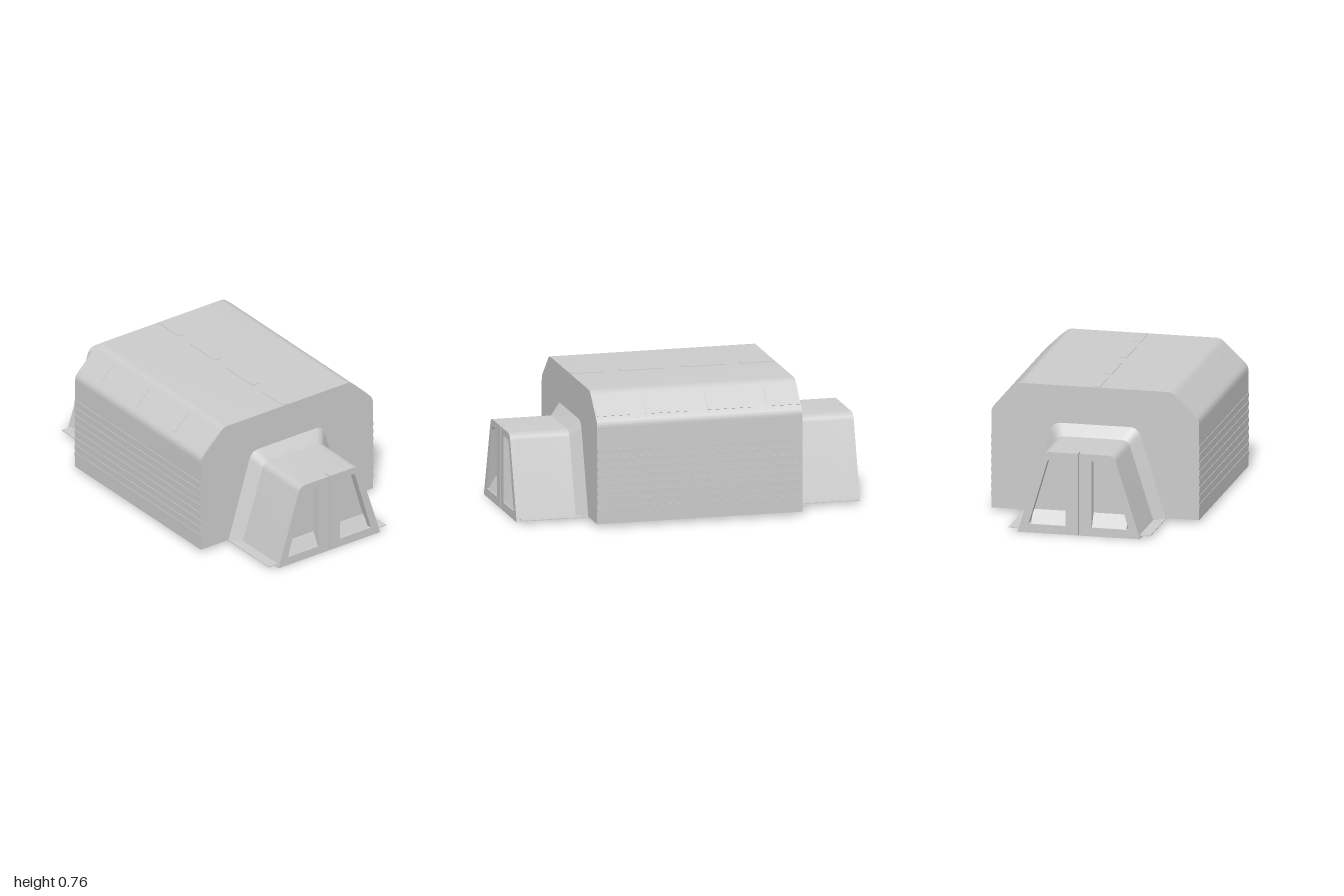
import * as THREE from 'three';
import { toCreasedNormals } from 'three/addons/utils/BufferGeometryUtils.js';

const material = new THREE.MeshStandardMaterial({ color: 0xcccccc, side: THREE.DoubleSide });

function add(parent, name, geometry) {
  const mesh = new THREE.Mesh(geometry, material);
  mesh.name = name;
  parent.add(mesh);
  return mesh;
}

function addBox(parent, name, [w, h, d], [x, y, z]) {
  const mesh = add(parent, name, new THREE.BoxGeometry(w, h, d));
  mesh.position.set(x, y, z);
  return mesh;
}

// Extrudes a (z, y) outline along x from x0 to x1.
function extrudeX(shape, x0, x1) {
  const g = new THREE.ExtrudeGeometry(shape, { depth: x1 - x0, bevelEnabled: false, curveSegments: 8 });
  g.rotateY(Math.PI / 2);
  g.translate(x0, 0, 0);
  return toCreasedNormals(g, 0.5);
}

// Arch outline from the +z foot over the top to the -z foot.
function archPoints(foot, shoulder, corner, top) {
  const curve = new THREE.QuadraticBezierCurve(
    new THREE.Vector2(...shoulder), new THREE.Vector2(...corner), new THREE.Vector2(...top));
  const half = [new THREE.Vector2(...foot), ...curve.getPoints(8)];
  return [...half, ...half.map((p) => new THREE.Vector2(-p.x, p.y)).reverse()];
}

// Skin through matching outlines placed at different x.
function loftX(sections) {
  const pos = [], idx = [];
  const n = sections[0].points.length;
  sections.forEach(({ x, points }) => points.forEach((p) => pos.push(x, p.y, p.x)));
  for (let i = 0; i < sections.length - 1; i++) {
    for (let j = 0; j < n - 1; j++) {
      const a = i * n + j, b = a + n;
      idx.push(a, b, a + 1, b, b + 1, a + 1);
    }
  }
  const g = new THREE.BufferGeometry();
  g.setAttribute('position', new THREE.Float32BufferAttribute(pos, 3));
  g.setIndex(idx);
  return toCreasedNormals(g, 0.5);
}

function createHall() {
  const hall = new THREE.Group();
  hall.name = 'hall';

  // Main shell with chamfered, softly rounded shoulders
  const s = new THREE.Shape();
  s.moveTo(0.6, 0.02);
  s.lineTo(0.6, 0.575);
  s.quadraticCurveTo(0.6, 0.602, 0.582, 0.62);
  s.lineTo(0.46, 0.737);
  s.quadraticCurveTo(0.44, 0.756, 0.415, 0.756);
  s.lineTo(-0.415, 0.756);
  s.quadraticCurveTo(-0.44, 0.756, -0.46, 0.737);
  s.lineTo(-0.582, 0.62);
  s.quadraticCurveTo(-0.6, 0.602, -0.6, 0.575);
  s.lineTo(-0.6, 0.02);
  add(hall, 'shell', extrudeX(s, -0.597, 0.597));

  // Horizontal wall slats on both long sides
  for (const side of [-1, 1]) {
    for (let i = 0; i < 8; i++) {
      addBox(hall, 'wallSlat', [1.194, 0.026, 0.006], [0, 0.1 + i * 0.048, side * 0.6]);
    }
  }

  // Roof strips and shoulder panels
  for (const [x, w] of [[-0.495, 0.19], [-0.18, 0.25], [0.18, 0.25], [0.495, 0.19]]) {
    addBox(hall, 'roofStrip', [w, 0.006, 0.05], [x, 0.756, 0]);
    for (const side of [-1, 1]) {
      const panel = addBox(hall, 'shoulderPanel', [w, 0.004, 0.13], [x, 0.6785, side * 0.521]);
      panel.rotation.x = side * 0.765;
    }
  }
  return hall;
}

// One half of the double door, side is +1 or -1 in z
function doorLeaf(side) {
  const s = new THREE.Shape();
  s.moveTo(side * 0.003, 0);
  s.lineTo(side * 0.355, 0);
  s.lineTo(side * 0.215, 0.44);
  s.quadraticCurveTo(side * 0.203, 0.476, side * 0.165, 0.476);
  s.lineTo(side * 0.003, 0.476);
  const w = new THREE.Path();
  w.moveTo(side * 0.075, 0.05);
  w.lineTo(side * 0.29, 0.05);
  w.lineTo(side * 0.184, 0.41);
  w.quadraticCurveTo(side * 0.176, 0.436, side * 0.15, 0.436);
  w.lineTo(side * 0.075, 0.436);
  w.closePath();
  s.holes.push(w);
  return extrudeX(s, 0.95, 1);
}

function createEntrance() {
  const entrance = new THREE.Group();
  const small = archPoints([0.355, 0], [0.215, 0.44], [0.203, 0.476], [0.165, 0.476]);
  const large = archPoints([0.41, 0.02], [0.266, 0.485], [0.25, 0.54], [0.2, 0.54]);

  // Flare at the hall wall, then a straight tunnel
  add(entrance, 'tunnel', loftX([
    { x: 0.595, points: large }, { x: 0.655, points: small }, { x: 0.955, points: small }]));
  add(entrance, 'doorBack', extrudeX(new THREE.Shape(small), 0.94, 0.952));

  // Door leaves with recessed panels and sloping sills
  for (const side of [-1, 1]) {
    add(entrance, 'doorLeaf', doorLeaf(side));
    const wedge = new THREE.Shape();
    wedge.moveTo(0.95, 0.045);
    wedge.lineTo(0.995, 0.045);
    wedge.lineTo(0.95, 0.13);
    const sill = new THREE.ExtrudeGeometry(wedge, { depth: 0.205, bevelEnabled: false });
    sill.translate(0, 0, side > 0 ? 0.07 : -0.275);
    add(entrance, 'doorSill', sill);
  }
  return entrance;
}

export function createModel() {
  const model = new THREE.Group();
  model.name = 'shelter';
  model.add(createHall());

  // Floor runner and the wider flange plate above it
  addBox(model, 'floor', [1.96, 0.018, 0.7], [0, 0.01, 0]);
  addBox(model, 'flange', [1.964, 0.004, 0.82], [0, 0.018, 0]);

  for (const [name, angle] of [['leftEntrance', 0], ['rightEntrance', Math.PI]]) {
    const entrance = createEntrance();
    entrance.name = name;
    entrance.rotation.y = angle;
    model.add(entrance);
  }
  return model;
}
